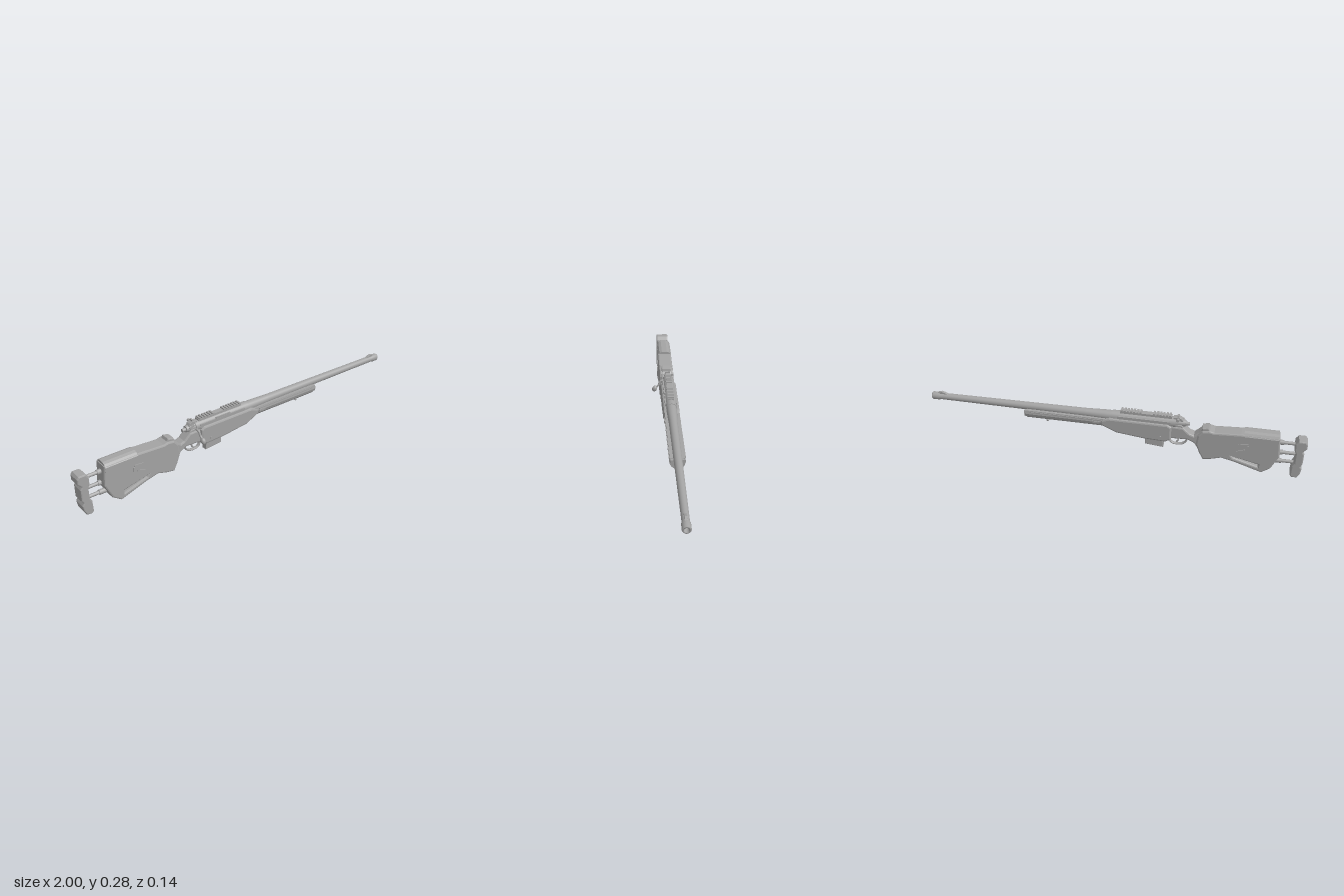
import * as THREE from 'three';

const ZC = -0.022; // centre plane of the rifle

export function createModel() {
  const root = new THREE.Group();
  root.name = 'rifle';
  const grey = new THREE.MeshStandardMaterial({ color: 0xa3a3a3 });
  grey.name = 'grey';

  const add = (name, geo, x = 0, y = 0, z = 0) => {
    const m = new THREE.Mesh(geo, grey);
    m.name = name;
    m.position.set(x, y, ZC + z);
    root.add(m);
    return m;
  };
  const box = (name, w, h, d, x, y, z = 0) => add(name, new THREE.BoxGeometry(w, h, d), x, y, z);
  const vec = (pts) => pts.map(([x, y]) => new THREE.Vector2(x, y));

  // side outline extruded symmetrically, with bevelled edges
  const slab = (name, pts, half, bevel = 0.008, hole = null, z = 0) => {
    const shape = new THREE.Shape(vec(pts));
    if (hole) shape.holes.push(new THREE.Path(vec(hole)));
    const geo = new THREE.ExtrudeGeometry(shape, {
      depth: 2 * (half - bevel), bevelEnabled: bevel > 0, bevelSize: bevel,
      bevelThickness: bevel, bevelOffset: -bevel, bevelSegments: 2,
    });
    geo.translate(0, 0, -(half - bevel));
    return add(name, geo, 0, 0, z);
  };
  // cross-section (z, y) extruded along x
  const bar = (name, pts, x0, x1) => {
    const geo = new THREE.ExtrudeGeometry(new THREE.Shape(vec(pts)), { depth: x1 - x0, bevelEnabled: false });
    geo.rotateY(Math.PI / 2);
    return add(name, geo, x0);
  };
  // cylinder lying along x
  const rod = (name, x0, x1, r0, r1, y, z = 0, seg = 20) => {
    const geo = new THREE.CylinderGeometry(r1, r0, x1 - x0, seg);
    geo.rotateZ(-Math.PI / 2);
    return add(name, geo, (x0 + x1) / 2, y, z);
  };
  const tube = (name, pts, r, seg = 24) => add(name, new THREE.TubeGeometry(
    new THREE.CatmullRomCurve3(pts.map((p) => new THREE.Vector3(...p))), seg, r, 8));

  // Butt pad on three adjustment rods
  slab('buttPad', [[-1, 0.212], [-0.99, 0.225], [-0.955, 0.225], [-0.94, 0.205], [-0.94, 0.165],
    [-0.948, 0.15], [-0.948, 0.09], [-0.937, 0.07], [-0.935, 0.015], [-0.945, 0.003], [-0.972, 0.006],
    [-0.985, 0.03], [-0.99, 0.06], [-0.982, 0.075], [-0.99, 0.09], [-0.99, 0.15], [-0.982, 0.165], [-1, 0.185]].reverse(), 0.035, 0.006);
  for (const y of [0.19, 0.13, 0.078]) {
    rod('buttRod', -0.955, -0.84, 0.009, 0.009, y, 0, 14);
    rod('rodCollar', -0.885, -0.85, 0.013, 0.013, y, 0, 14);
  }

  // Stock with a slot above its lower rail
  slab('stock', [[-0.862, 0.23], [-0.67, 0.23], [-0.535, 0.222], [-0.51, 0.228], [-0.475, 0.222],
    [-0.452, 0.195], [-0.445, 0.14], [-0.465, 0.09], [-0.485, 0.053], [-0.53, 0.06], [-0.58, 0.075],
    [-0.645, 0.06], [-0.79, 0.013], [-0.835, 0.045], [-0.872, 0.125]].reverse(), 0.04, 0.008,
  [[-0.77, 0.045], [-0.64, 0.083], [-0.63, 0.094], [-0.77, 0.06]]);
  bar('cheekPiece', [[-0.041, 0.18], [0.041, 0.18], [0.041, 0.222], [0.03, 0.238], [0.015, 0.244],
    [-0.015, 0.244], [-0.03, 0.238], [-0.041, 0.222]], -0.858, -0.685);
  slab('stockComb', [[-0.525, 0.2], [-0.465, 0.2], [-0.472, 0.235], [-0.505, 0.241]], 0.028, 0.006);
  for (const s of [-1, 1]) {
    box('stockMarkUpper', 0.05, 0.008, 0.006, -0.685, 0.173, s * 0.041).rotation.z = -0.1;
    box('stockMarkLower', 0.045, 0.008, 0.006, -0.675, 0.135, s * 0.041).rotation.z = -0.35;
    box('stockMarkEnd', 0.008, 0.025, 0.006, -0.71, 0.155, s * 0.041);
  }

  // Wrist between the stock and the action
  slab('wrist', [[-0.475, 0.225], [-0.455, 0.205], [-0.432, 0.184], [-0.41, 0.192], [-0.375, 0.224],
    [-0.29, 0.228], [-0.29, 0.153], [-0.4, 0.157], [-0.435, 0.14], [-0.46, 0.1], [-0.485, 0.07]].reverse(), 0.03, 0.008);

  // Chassis and fore-end
  slab('chassis', [[-0.315, 0.225], [-0.295, 0.238], [0.01, 0.238], [0.055, 0.222], [0.055, 0.195],
    [0.02, 0.178], [-0.025, 0.157], [-0.17, 0.14], [-0.285, 0.135], [-0.315, 0.15]].reverse(), 0.042, 0.009);
  const foreSection = (k) => [[-0.037, 0.23], [-0.04, 0.21], [-0.035, 0.194], [-0.022, 0.181], [-0.008, 0.176],
    [0.008, 0.176], [0.022, 0.181], [0.035, 0.194], [0.04, 0.21], [0.037, 0.23]]
    .map(([z, y]) => [z * k, 0.206 + (y - 0.206) * k]);
  bar('foreEnd', foreSection(1), 0.0, 0.46);
  bar('foreEndCap', foreSection(0.9), 0.46, 0.472);
  for (const s of [-1, 1]) {
    box('foreEndRib', 0.38, 0.006, 0.006, 0.25, 0.222, s * 0.038);
    box('foreEndSlot', 0.04, 0.01, 0.006, 0.08, 0.21, s * 0.04);
    const pin = add('chassisPin', new THREE.CylinderGeometry(0.006, 0.006, 0.008, 12), -0.26, 0.165, s * 0.044);
    pin.rotation.x = Math.PI / 2;
  }
  add('slingStud', new THREE.CylinderGeometry(0.005, 0.005, 0.02, 10), 0.355, 0.17);
  add('slingStudEnd', new THREE.SphereGeometry(0.007, 10, 8), 0.355, 0.163);

  // Tapered barrel with a hollow muzzle
  const barrel = new THREE.LatheGeometry(vec([[0.027, -0.02], [0.027, 0.04], [0.023, 0.14], [0.018, 0.93],
    [0.018, 0.955], [0.021, 0.958], [0.021, 0.995], [0.018, 1], [0.012, 1], [0.012, 0.96], [0, 0.96]]), 24);
  barrel.rotateZ(-Math.PI / 2);
  const sharpBarrel = barrel.toNonIndexed();
  add('barrel', sharpBarrel, 0, 0.238);
  slab('frontSight', [[0.9, 0.25], [0.97, 0.25], [0.965, 0.262], [0.945, 0.268], [0.925, 0.262]], 0.007, 0.002);

  // Receiver, ejection port cover and sight rail
  rod('receiver', -0.335, 0.0, 0.029, 0.029, 0.239, 0, 24);
  box('receiverSide', 0.28, 0.03, 0.064, -0.17, 0.238);
  box('portCover', 0.09, 0.018, 0.006, -0.17, 0.252, 0.028);
  box('sightRail', 0.27, 0.012, 0.03, -0.178, 0.27);
  for (const [x0, n] of [[-0.304, 6], [-0.15, 7]]) {
    for (let i = 0; i < n; i++) box('railTooth', 0.01, 0.008, 0.034, x0 + i * 0.0165, 0.279);
  }

  // Bolt shroud, rear sight and safety
  rod('boltShroud', -0.385, -0.33, 0.017, 0.024, 0.24);
  rod('cockingPiece', -0.405, -0.38, 0.009, 0.011, 0.238, 0, 14);
  slab('tang', [[-0.395, 0.2], [-0.32, 0.2], [-0.32, 0.24], [-0.365, 0.236]], 0.024, 0.004);
  slab('rearSightBase', [[-0.375, 0.252], [-0.32, 0.252], [-0.32, 0.272], [-0.35, 0.276], [-0.365, 0.268]], 0.014, 0.002);
  box('rearSightBlade', 0.01, 0.014, 0.024, -0.345, 0.276);
  const knob = add('sightKnob', new THREE.CylinderGeometry(0.008, 0.008, 0.014, 12), -0.345, 0.266, -0.025);
  knob.rotation.x = Math.PI / 2;
  box('safetyLever', 0.03, 0.008, 0.008, -0.36, 0.255, 0.024).rotation.z = 0.4;

  // Bolt handle, out to the right side
  tube('boltArm', [[-0.335, 0.235, 0.015], [-0.333, 0.228, 0.042], [-0.331, 0.207, 0.052], [-0.33, 0.192, 0.066]], 0.006, 16);
  const ball = add('boltKnob', new THREE.SphereGeometry(0.014, 16, 12), -0.33, 0.184, 0.075);
  ball.scale.set(0.9, 1.3, 1);
  ball.rotation.x = -0.4;

  // Trigger guard, trigger and magazine
  const guard = tube('triggerGuard', [[-0.395, 0.16, 0], [-0.393, 0.135, 0], [-0.375, 0.115, 0], [-0.345, 0.109, 0],
    [-0.318, 0.114, 0], [-0.305, 0.13, 0], [-0.3, 0.15, 0]], 0.005, 28);
  guard.scale.z = 2;
  const trigger = tube('trigger', [[-0.352, 0.16, 0], [-0.348, 0.145, 0], [-0.352, 0.132, 0], [-0.342, 0.12, 0]], 0.004, 12);
  trigger.scale.z = 1.4;
  slab('magazine', [[-0.275, 0.085], [-0.178, 0.094], [-0.175, 0.15], [-0.27, 0.15]], 0.017, 0.003);
  slab('magazineWell', [[-0.29, 0.128], [-0.165, 0.133], [-0.155, 0.15], [-0.295, 0.15]], 0.026, 0.003);

  return root;
}
